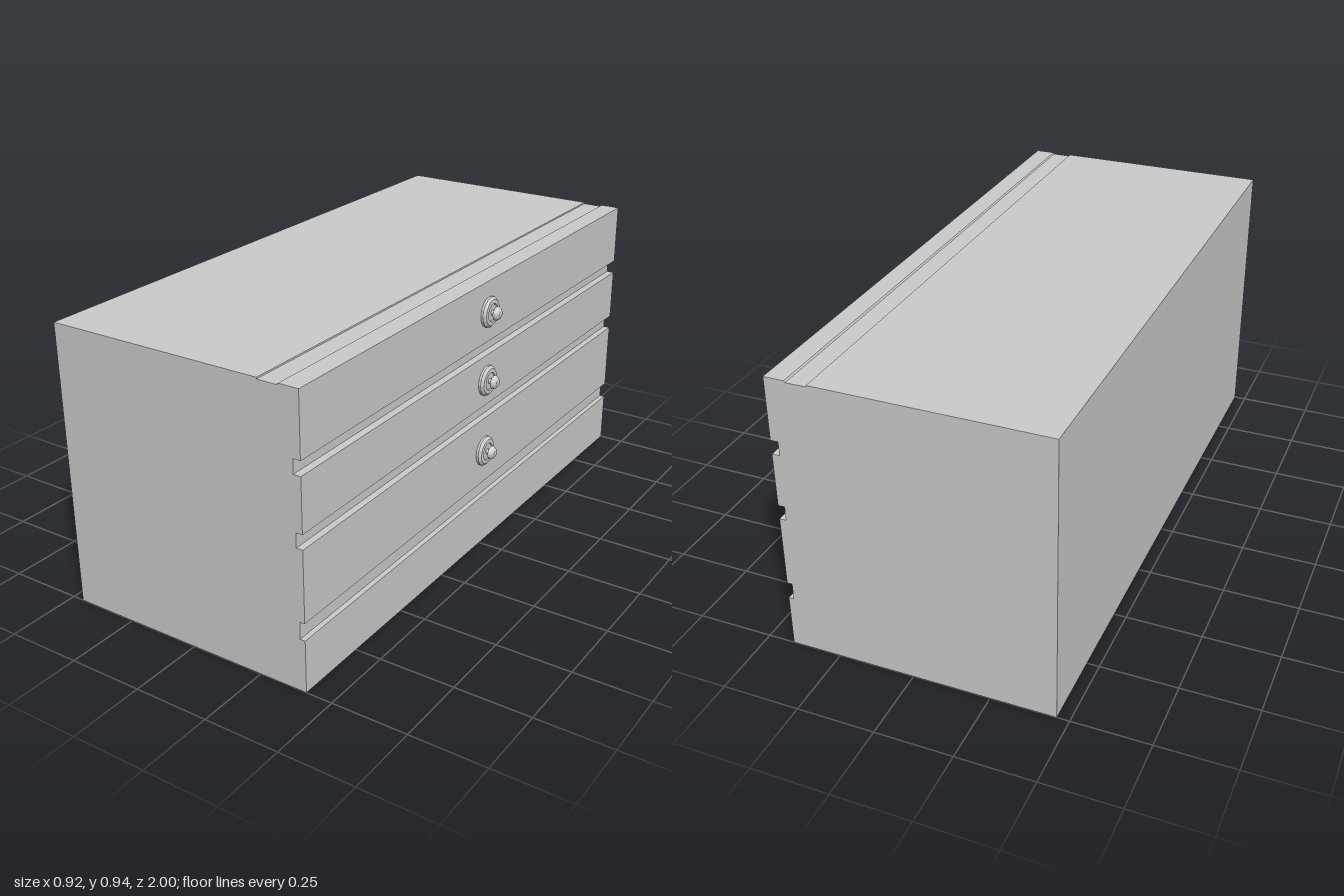
import * as THREE from 'three';

export function createModel() {
  const group = new THREE.Group();
  const material = new THREE.MeshStandardMaterial({ color: 0xcccccc, flatShading: true });

  const BACK = -0.46, FRONT = 0.413, TOP = 0.94;
  // Grooves between the drawers: bottom, top, depth of floor in x
  const grooves = [
    [0.174, 0.23, 0.396],
    [0.465, 0.512, 0.391],
    [0.688, 0.734, 0.388],
  ];

  // Cabinet cross-section, extruded along the length
  const outline = [[BACK, 0], [FRONT, 0]];
  for (const [low, high, floor] of grooves) {
    outline.push([FRONT, low], [floor, low], [floor, high], [FRONT, high]);
  }
  // Shallow slot in the top
  outline.push([FRONT, TOP], [0.347, TOP], [0.343, 0.935], [0.277, 0.935], [0.277, TOP], [BACK, TOP]);
  const shape = new THREE.Shape(outline.map(([x, y]) => new THREE.Vector2(x, y)));
  const bodyGeometry = new THREE.ExtrudeGeometry(shape, { depth: 2, bevelEnabled: false });
  bodyGeometry.translate(0, 0, -1);
  const body = new THREE.Mesh(bodyGeometry, material);
  body.name = 'cabinetBody';
  group.add(body);

  // Turned knob: stepped backplate, thin neck, domed cap (radius, height)
  const profile = [
    [0.051, 0], [0.051, 0.008], [0.043, 0.016], [0.03, 0.017], [0.028, 0.013],
    [0.009, 0.013], [0.009, 0.027], [0.023, 0.027], [0.023, 0.031],
    [0.019, 0.038], [0.011, 0.044], [0, 0.045],
  ].map(([r, h]) => new THREE.Vector2(r, h));
  const knobGeometry = new THREE.LatheGeometry(profile, 16);
  knobGeometry.rotateZ(-Math.PI / 2);

  [0.347, 0.6, 0.836].forEach((y, i) => {
    const knob = new THREE.Mesh(knobGeometry, material);
    knob.name = `drawerKnob${i + 1}`;
    knob.position.set(FRONT, y, -0.01);
    group.add(knob);
  });

  return group;
}
